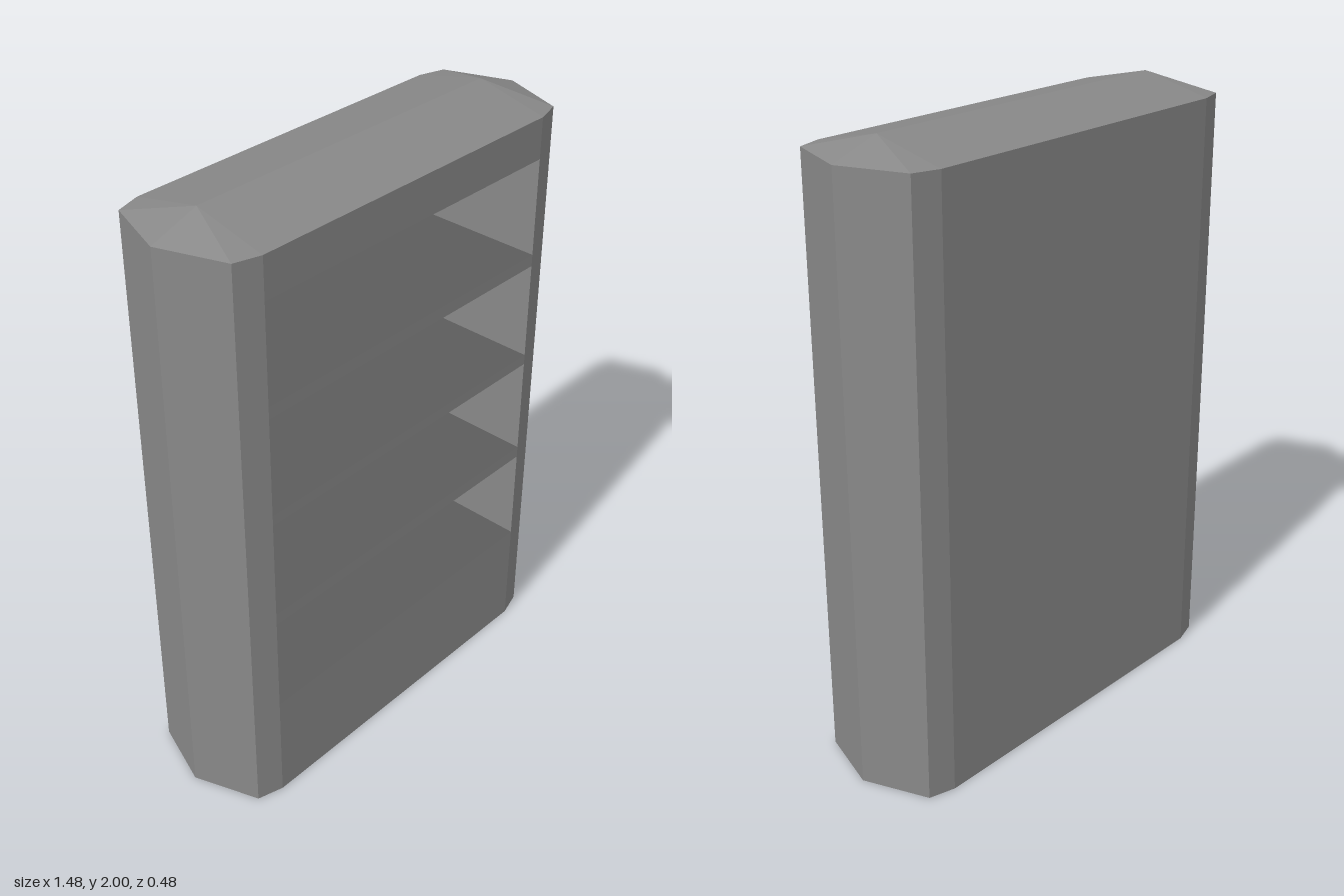
import * as THREE from 'three';

const body = new THREE.MeshStandardMaterial({ color: 0x888888 });
body.name = 'cabinet grey';
const dark = new THREE.MeshStandardMaterial({ color: 0x5c5c5c });
dark.name = 'shelf dark grey';

// Flat-sided mesh from convex faces, corners counter-clockwise from outside
function faceMesh(name, faces, material) {
  const pos = [];
  for (const f of faces)
    for (let i = 1; i < f.length - 1; i++) pos.push(...f[0], ...f[i], ...f[i + 1]);
  const geo = new THREE.BufferGeometry();
  geo.setAttribute('position', new THREE.Float32BufferAttribute(pos, 3));
  geo.computeVertexNormals();
  const mesh = new THREE.Mesh(geo, material);
  mesh.name = name;
  return mesh;
}

export function createModel() {
  const group = new THREE.Group();
  group.name = 'cabinet';
  const W = 0.58, D = 0.24, B = -0.215, EAVE = 1.945, TOP = 2;

  // Footprint [x, z], starting with the front edge
  const plan = [
    [-W, D], [W, D], [0.665, 0.215], [0.742, 0], [0.665, -0.215],
    [W, -D], [-W, -D], [-0.665, -0.215], [-0.742, 0], [-0.665, 0.215],
  ];
  const walls = [], roof = [];
  plan.forEach(([x0, z0], i) => {
    const [x1, z1] = plan[(i + 1) % plan.length];
    if (i > 0) walls.push([[x0, 0, z0], [x1, 0, z1], [x1, EAVE, z1], [x0, EAVE, z0]]);
    // Each eave edge rises to the nearest end of the ridge
    const r0 = Math.sign(x0) * W, r1 = Math.sign(x1) * W;
    const face = [[x0, EAVE, z0], [x1, EAVE, z1], [r1, TOP, 0]];
    if (r0 !== r1) face.push([r0, TOP, 0]);
    roof.push(face);
  });
  group.add(faceMesh('outerWalls', walls, body));
  group.add(faceMesh('ridgedTop', roof, body));
  group.add(faceMesh('underside', [plan.map(([x, z]) => [x, 0, z]).reverse()], body));

  // Front rails between the shelf openings
  const bays = [[0.375, 0.705], [0.745, 1.08], [1.115, 1.445], [1.485, 1.81]];
  const levels = [0, ...bays.flat(), EAVE];
  const rails = [];
  for (let i = 0; i < levels.length; i += 2) {
    const a = levels[i], b = levels[i + 1];
    rails.push([[-W, a, D], [W, a, D], [W, b, D], [-W, b, D]]);
  }
  group.add(faceMesh('frontRails', rails, body));

  // Deep open bays, each with a darker shelf floor
  bays.forEach(([a, b], i) => {
    const bay = new THREE.Group();
    bay.name = 'shelfBay' + (i + 1);
    bay.add(faceMesh('bayLining', [
      [[-W, a, B], [W, a, B], [W, b, B], [-W, b, B]],
      [[-W, a, D], [-W, a, B], [-W, b, B], [-W, b, D]],
      [[W, a, B], [W, a, D], [W, b, D], [W, b, B]],
      [[-W, b, B], [W, b, B], [W, b, D], [-W, b, D]],
    ], body));
    bay.add(faceMesh('shelfFloor', [[[-W, a, D], [W, a, D], [W, a, B], [-W, a, B]]], dark));
    group.add(bay);
  });
  return group;
}
